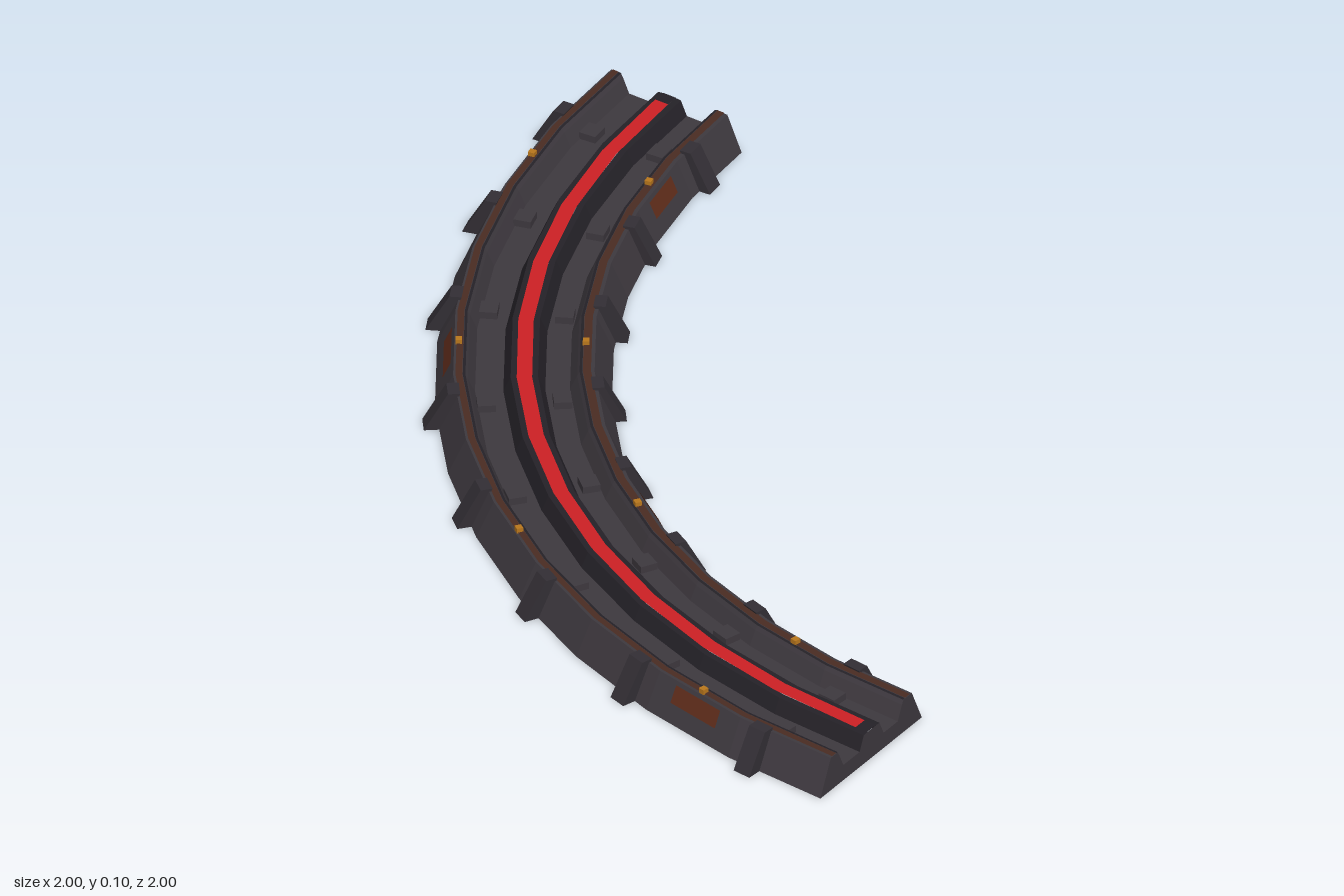
import * as THREE from 'three';

const RAD = Math.PI / 180;
const SEGMENTS = 12;

const paint = (name, color) => {
  const m = new THREE.MeshStandardMaterial({ color, side: THREE.DoubleSide, flatShading: true });
  m.name = name;
  return m;
};

// Sweep a [radius, height] profile (inner to outer) around the bend centre at (1, -1)
function sweep(profile, from = 0, to = 90, steps = SEGMENTS) {
  const pos = [];
  const at = ([r, y], deg) => [1 - r * Math.cos(deg * RAD), y, -1 + r * Math.sin(deg * RAD)];
  for (let s = 0; s < steps; s++) {
    const a = from + ((to - from) * s) / steps;
    const b = from + ((to - from) * (s + 1)) / steps;
    for (let i = 0; i < profile.length - 1; i++) {
      const p = at(profile[i], a), q = at(profile[i + 1], a);
      const u = at(profile[i], b), v = at(profile[i + 1], b);
      pos.push(...p, ...q, ...u, ...q, ...v, ...u);
    }
  }
  const g = new THREE.BufferGeometry();
  g.setAttribute('position', new THREE.Float32BufferAttribute(pos, 3));
  g.computeVertexNormals();
  return g;
}

const polygon = (pts) => new THREE.Shape(pts.map(([x, y]) => new THREE.Vector2(x, y)));

export function createModel() {
  const model = new THREE.Group();
  model.name = 'curvedTrack';

  const hull = paint('hullGrey', 0x3d383e);
  const dark = paint('grooveDark', 0x242127);
  const steel = paint('ribGrey', 0x322e34);
  const rust = paint('rustStripe', 0x4a2c22);
  const patch = paint('rustPatch', 0x5e2c1a);
  const red = paint('redStripe', 0xcc2024);
  const amber = paint('amberLight', 0xb8761c);

  const add = (name, geometry, material) => {
    const mesh = new THREE.Mesh(geometry, material);
    mesh.name = name;
    model.add(mesh);
    return mesh;
  };
  // Put a part modelled with x = radius at an angle along the bend
  const addAt = (name, geometry, material, deg) => {
    const mesh = add(name, geometry, material);
    mesh.position.set(1, 0, -1);
    mesh.rotation.y = Math.PI + deg * RAD;
  };

  // Cross-section: side walls, two troughs and a centre ridge
  const innerWall = [[1.588, 0], [1.626, 0.085], [1.658, 0.085], [1.664, 0.075]];
  const innerTrough = [[1.664, 0.075], [1.68, 0.04], [1.734, 0.04]];
  const innerRidge = [[1.734, 0.04], [1.75, 0.075], [1.764, 0.076]];
  const outerRidge = [[1.796, 0.076], [1.81, 0.075], [1.826, 0.04]];
  const outerTrough = [[1.826, 0.04], [1.888, 0.04], [1.904, 0.075]];
  const outerWall = [[1.904, 0.075], [1.91, 0.085], [1.936, 0.085], [1.976, 0]];

  add('innerWall', sweep(innerWall), hull);
  add('innerTrough', sweep(innerTrough), hull);
  add('innerRidgeSide', sweep(innerRidge), dark);
  add('outerRidgeSide', sweep(outerRidge), dark);
  add('outerTrough', sweep(outerTrough), hull);
  add('outerWall', sweep(outerWall), hull);

  // Centre stripe, with short dark ends
  const stripe = [[1.763, 0.077], [1.797, 0.077]];
  add('centreStripe', sweep(stripe, 1, 89), red);
  add('stripeEnd', sweep(stripe, 0, 1, 1), dark);
  add('stripeEnd', sweep(stripe, 89, 90, 1), dark);

  // Rusty rails on the wall tops with dark seams beside them
  add('innerRustRail', sweep([[1.634, 0.087], [1.652, 0.087]]), rust);
  add('outerRustRail', sweep([[1.916, 0.087], [1.931, 0.087]]), rust);
  add('innerSeam', sweep([[1.653, 0.0865], [1.659, 0.0855]]), dark);
  add('outerSeam', sweep([[1.909, 0.0855], [1.915, 0.0865]]), dark);

  // End caps
  const section = polygon([
    ...innerWall, ...innerTrough.slice(1), ...innerRidge.slice(1),
    ...outerRidge, ...outerTrough.slice(1), ...outerWall.slice(1),
  ]);
  for (const deg of [0, 90]) addAt('endCap', new THREE.ShapeGeometry(section), hull, deg);

  // Ribs clamped to both walls, and floor studs in both troughs
  const ribWidth = 0.045;
  const rib = (pts) => new THREE.ExtrudeGeometry(polygon(pts), { depth: ribWidth, bevelEnabled: false })
    .translate(0, 0, -ribWidth / 2);
  const outerRib = rib([[1.955, 0], [2.006, 0], [1.953, 0.092], [1.926, 0.092]]);
  const innerRib = rib([[1.56, 0], [1.605, 0], [1.636, 0.092], [1.609, 0.092]]);
  for (let i = 0; i < 8; i++) {
    const deg = 5.625 + 11.25 * i;
    addAt('outerRib', outerRib, steel, deg);
    addAt('innerRib', innerRib, steel, deg);
    for (const r of [1.7, 1.868]) {
      addAt('floorStud', new THREE.BoxGeometry(0.04, 0.018, 0.045).translate(r, 0.048, 0), hull, deg);
    }
  }

  // Amber lights on the rails, rust patches alternating between the walls
  const fit = Math.cos(3.75 * RAD) / Math.cos(2.05 * RAD);
  for (let i = 0; i < 4; i++) {
    const deg = 11.25 + 22.5 * i;
    for (const r of [1.643, 1.922]) {
      addAt('amberLight', new THREE.BoxGeometry(0.015, 0.014, 0.015).translate(r, 0.09, 0), amber, deg);
    }
    const plate = i % 2
      ? [[1.9395 * fit + 0.003, 0.078], [1.957 * fit + 0.003, 0.04]]
      : [[1.606 * fit - 0.003, 0.04], [1.623 * fit - 0.003, 0.078]];
    add('rustPatch', sweep(plate, deg - 2.05, deg + 2.05, 1), patch);
  }

  return model;
}
